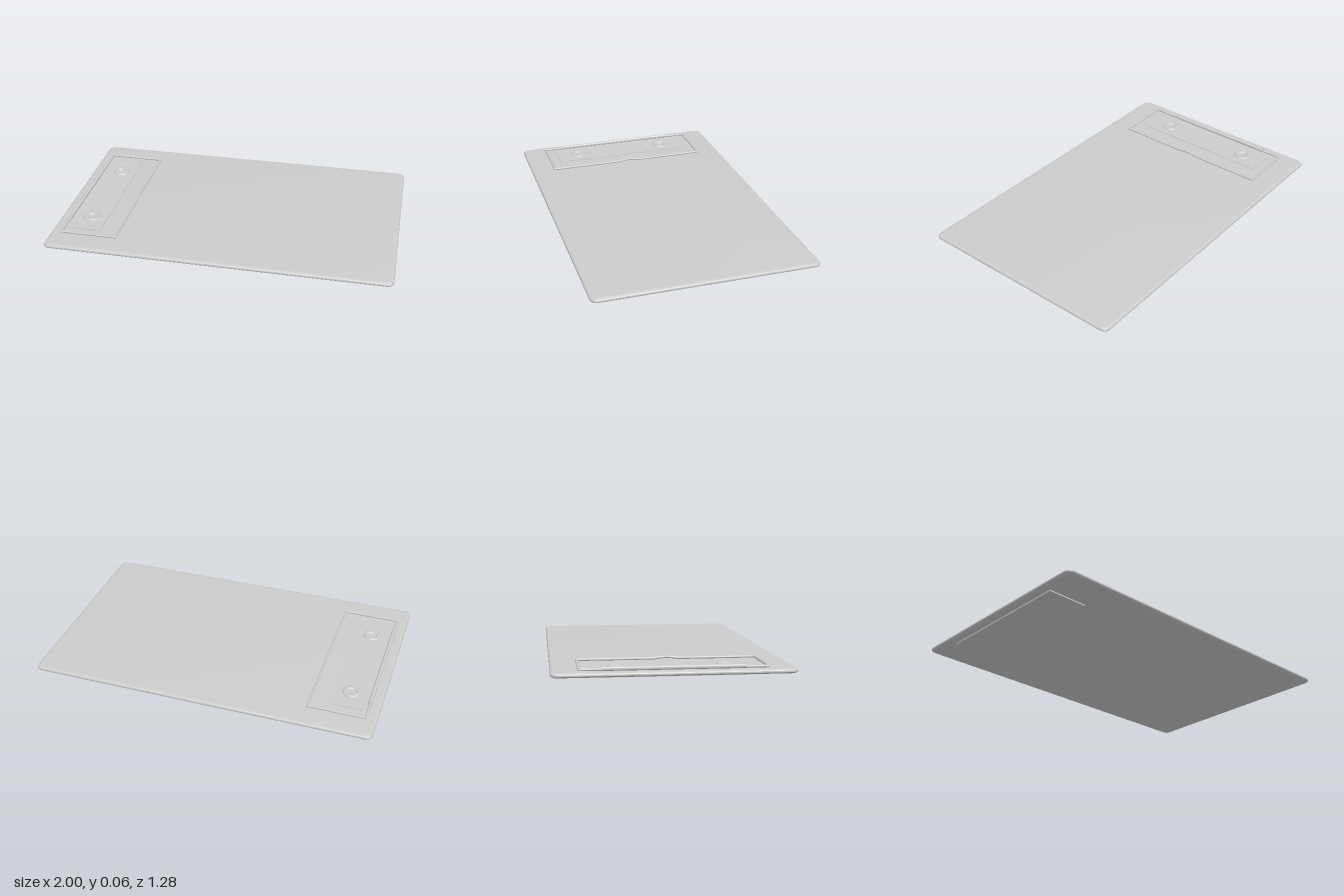
import * as THREE from 'three';
import { toCreasedNormals } from 'three/addons/utils/BufferGeometryUtils.js';

const material = new THREE.MeshStandardMaterial({ color: 0xcccccc });

function add(parent, name, geometry, x = 0, y = 0, z = 0) {
  const mesh = new THREE.Mesh(geometry, material);
  mesh.name = name;
  mesh.position.set(x, y, z);
  parent.add(mesh);
  return mesh;
}

// Rounded rectangle outline centred on the origin
function roundedRect(w, d, r) {
  const s = new THREE.Shape();
  const x = w / 2 - r, y = d / 2 - r;
  s.absarc(x, y, r, 0, Math.PI / 2);
  s.absarc(-x, y, r, Math.PI / 2, Math.PI);
  s.absarc(-x, -y, r, Math.PI, Math.PI * 1.5);
  s.absarc(x, -y, r, Math.PI * 1.5, Math.PI * 2);
  s.closePath();
  return s;
}

// Round bar between two points
function bar(parent, name, a, b, radius) {
  const dir = b.clone().sub(a);
  const mesh = add(parent, name, new THREE.CylinderGeometry(radius, radius, dir.length(), 12));
  mesh.position.copy(a).add(b).multiplyScalar(0.5);
  mesh.quaternion.setFromUnitVectors(new THREE.Vector3(0, 1, 0), dir.normalize());
}

export function createModel() {
  const group = new THREE.Group();
  group.name = 'clipboard';

  // Board with softly rounded rim
  const bevel = 0.022;
  const board = new THREE.ExtrudeGeometry(roundedRect(2 - 2 * bevel, 1.28 - 2 * bevel, 0.015), {
    depth: 0.002, bevelEnabled: true, bevelSize: bevel, bevelThickness: 0.012,
    bevelSegments: 6, curveSegments: 8,
  });
  board.rotateX(-Math.PI / 2);
  add(group, 'board', toCreasedNormals(board, 0.7), 0, 0.0195, 0);

  const clip = new THREE.Group();
  clip.name = 'clip';
  group.add(clip);

  // Thin mounting plates above and below the board, the upper one reaching the hinge
  add(clip, 'topPlate', new THREE.BoxGeometry(0.19, 0.004, 0.86), -0.815, 0.0345, 0);
  add(clip, 'topPlateTongue', new THREE.BoxGeometry(0.03, 0.004, 0.748), -0.924, 0.0345, 0);
  add(clip, 'bottomPlate', new THREE.BoxGeometry(0.24, 0.0075, 0.86), -0.83, 0.00375, 0);

  // Hollow hinge sleeve rolled around the wire
  const ring = new THREE.Shape().absarc(0, 0, 0.0115, 0, Math.PI * 2);
  ring.holes.push(new THREE.Path().absarc(0, 0, 0.0075, 0, Math.PI * 2, true));
  const sleeve = new THREE.ExtrudeGeometry(ring, { depth: 0.748, bevelEnabled: false, curveSegments: 12 });
  add(clip, 'hingeSleeve', toCreasedNormals(sleeve, 0.7), -0.936, 0.044, -0.374);

  // Wire loop, lifted into a small finger bend in the middle of its free side
  const wire = new THREE.Group();
  wire.name = 'wireLoop';
  clip.add(wire);
  const r = 0.007;
  const points = [
    [-0.936, 0.041, -0.493], [-0.936, 0.041, 0.493], [-0.608, 0.041, 0.493],
    [-0.608, 0.041, 0.07], [-0.608, 0.047, 0.02], [-0.608, 0.049, 0],
    [-0.608, 0.047, -0.02], [-0.608, 0.041, -0.07], [-0.608, 0.041, -0.493],
  ].map((p) => new THREE.Vector3(...p));
  points.forEach((p, i) => {
    bar(wire, 'wireBar', p, points[(i + 1) % points.length], r);
    add(wire, 'wireJoint', new THREE.SphereGeometry(r, 12, 8), p.x, p.y, p.z);
  });

  // Eyelet rivets with a recessed centre
  const eyelet = [
    [0.052, 0], [0.051, 0.004], [0.046, 0.0075], [0.038, 0.009],
    [0.031, 0.008], [0.026, 0.005], [0.024, 0.0005], [0, 0.0005],
  ].map(([x, y]) => new THREE.Vector2(x, y));
  for (const side of [-1, 1]) {
    add(clip, 'rivet', new THREE.LatheGeometry(eyelet, 32), -0.815, 0.0365, side * 0.29);
  }

  return group;
}
